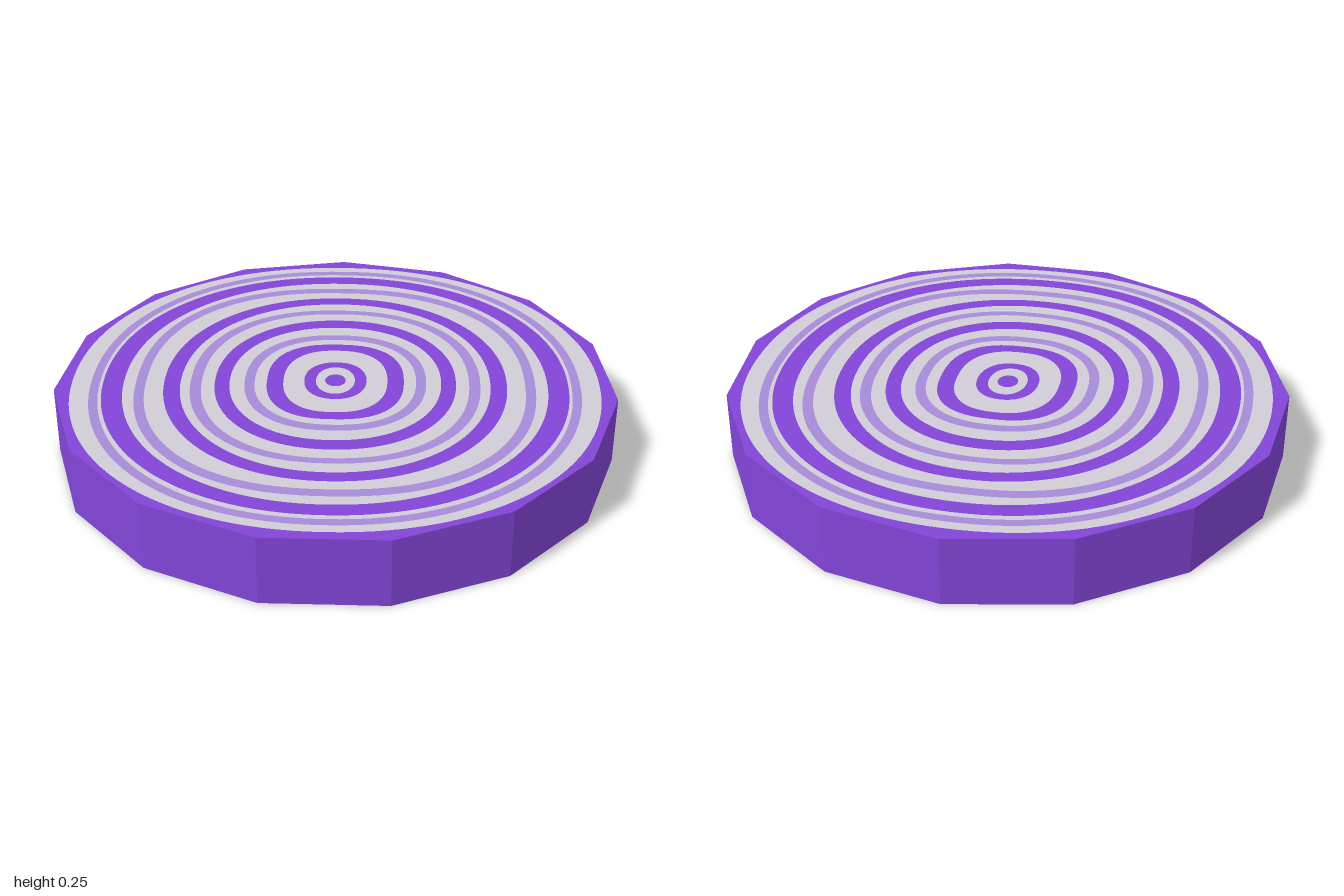
import * as THREE from 'three';

const SIDES = 15, R = 1.0055, HEIGHT = 0.25, CZ = 0.011;
const STEPS = 120; // multiple of SIDES so the rim corners stay sharp

const purple = new THREE.MeshStandardMaterial({ color: 0x8345d8 });
purple.name = 'purple';
const lavender = new THREE.MeshStandardMaterial({ color: 0xa78ad9 });
lavender.name = 'lavender';
const grey = new THREE.MeshStandardMaterial({ color: 0xd1cdd8 });
grey.name = 'pale grey';

// Band edges from the centre outwards: [x radius, z radius, squareness, colour inside the edge]
const BANDS = [
  [0.037, 0.043, 2, purple],
  [0.07, 0.096, 2.1, grey],
  [0.112, 0.134, 2.2, purple],
  [0.187, 0.225, 2.4, grey],
  [0.246, 0.273, 2.5, purple],
  [0.29, 0.31, 2.3, grey],
  [0.326, 0.348, 2.3, lavender],
  [0.38, 0.41, 2.15, grey],
  [0.433, 0.47, 2.15, purple],
  [0.48, 0.524, 2.25, grey],
  [0.52, 0.556, 2.25, lavender],
  [0.556, 0.61, 2.1, grey],
  [0.615, 0.663, 2.1, purple],
  [0.68, 0.71, 2.3, grey],
  [0.716, 0.75, 2.3, lavender],
  [0.76, 0.797, 2.1, grey],
  [0.834, 0.856, 2.1, purple],
  [0.845, 0.877, 2.13, grey],
  [0.877, 0.91, 2.13, lavender],
  [0.946, 0.947, 2.1, grey],
];

// Loop of [x, z] points, starting at the back and turning towards +x
function loop(radiusAt) {
  return Array.from({ length: STEPS }, (_, i) => {
    const a = (i / STEPS) * Math.PI * 2;
    const r = radiusAt(a);
    return [Math.sin(a) * r, CZ - Math.cos(a) * r];
  });
}

const ovalLoop = (rx, rz, p) => loop((a) =>
  Math.pow(Math.abs(Math.sin(a) / rx) ** p + Math.abs(Math.cos(a) / rz) ** p, -1 / p));

const rimLoop = () => loop((a) => {
  const seg = (Math.PI * 2) / SIDES;
  return (R * Math.cos(seg / 2)) / Math.cos((a % seg) - seg / 2);
});

// Flat band between two loops, facing up or down
function bandGeometry(inner, outer, y, up) {
  const pos = [];
  const tri = (a, b, c) => {
    for (const [x, z] of up ? [a, b, c] : [a, c, b]) pos.push(x, y, z);
  };
  for (let i = 0; i < STEPS; i++) {
    const j = (i + 1) % STEPS;
    tri(inner[i], inner[j], outer[i]);
    tri(inner[j], outer[j], outer[i]);
  }
  const g = new THREE.BufferGeometry();
  g.setAttribute('position', new THREE.Float32BufferAttribute(pos, 3));
  g.computeVertexNormals();
  return g;
}

// One patterned face of the disc
function face(name, y, up) {
  const group = new THREE.Group();
  group.name = name;
  let inner = loop(() => 0);
  const add = (outer, material, label) => {
    const mesh = new THREE.Mesh(bandGeometry(inner, outer, y, up), material);
    mesh.name = label;
    group.add(mesh);
    inner = outer;
  };
  BANDS.forEach(([rx, rz, p, material], i) =>
    add(ovalLoop(rx, rz, p), material, i ? 'ring' + i : 'core'));
  add(rimLoop(), purple, 'outerBorder');
  return group;
}

export function createModel() {
  const model = new THREE.Group();
  model.name = 'ringedDisc';

  // Faceted side wall, with one corner pointing to the back
  const wall = new THREE.CylinderGeometry(R, R, HEIGHT, SIDES, 1, true).toNonIndexed();
  wall.rotateY(Math.PI);
  wall.translate(0, HEIGHT / 2, CZ);
  wall.computeVertexNormals();
  const side = new THREE.Mesh(wall, purple);
  side.name = 'sideWall';

  model.add(side, face('topFace', HEIGHT, true), face('bottomFace', 0, false));
  return model;
}
